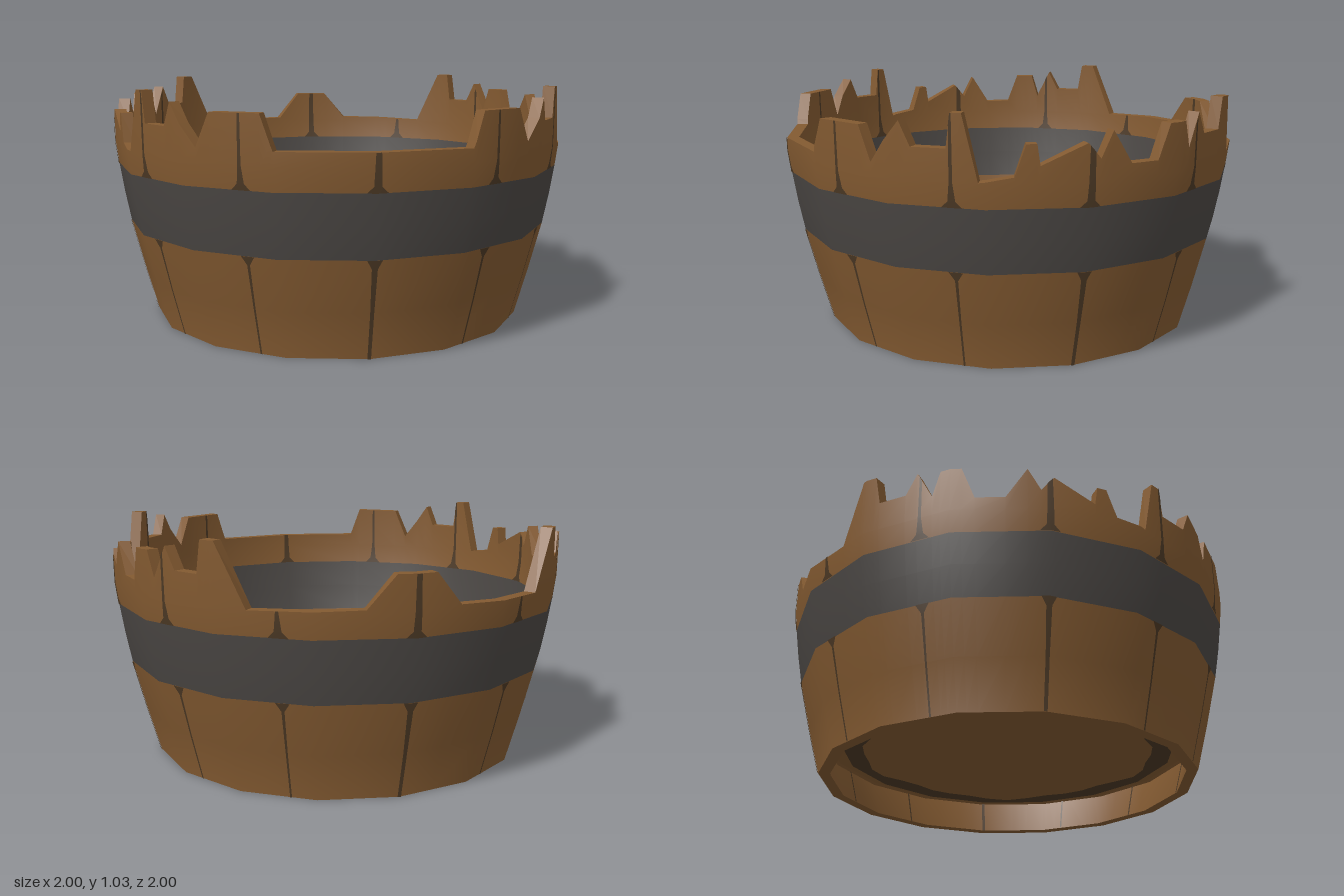
import * as THREE from 'three';

const RAD = Math.PI / 180;
const SIDES = 16;
const THICK = 0.05;

// Outer radius by height
const PROFILE = [[0, 0.83], [0.2, 0.885], [0.42, 0.94], [0.55, 0.965], [0.68, 0.985], [0.775, 0.997], [1.05, 1.0]];
// Height of the broken rim by angle from the front, mirrored left to right
const RIM = [[0, 0.83], [22, 0.83], [25, 0.967], [37.5, 0.965], [41, 0.83], [48.5, 0.995], [51, 0.9], [59, 0.9],
  [60, 1.03], [62.5, 1.03], [66, 0.78], [73.5, 0.8], [76, 0.92], [78.3, 0.92], [79, 0.84], [89, 0.92], [92, 0.86],
  [95, 0.96], [100, 0.83], [107, 0.83], [110, 0.967], [115, 0.967], [117, 0.86], [121, 0.99], [124, 0.9],
  [131, 0.9], [132.3, 1.03], [136, 1.03], [143, 0.78], [154, 0.785], [169, 0.79], [175.5, 0.92], [180, 0.92]];

function sample(table, t) {
  for (let i = 1; i < table.length; i++) {
    const [t0, v0] = table[i - 1], [t1, v1] = table[i];
    if (t <= t1) return v0 + (v1 - v0) * (t - t0) / (t1 - t0);
  }
  return table[table.length - 1][1];
}

const rimHeight = (deg) => {
  const a = ((deg % 360) + 360) % 360;
  return sample(RIM, a > 180 ? 360 - a : a);
};

// Point on the sixteen-sided wall
function wallPoint(deg, y, offset) {
  const step = 360 / SIDES;
  const local = ((deg % step) + step) % step - step / 2;
  const r = (sample(PROFILE, y) + offset) * Math.cos(step / 2 * RAD) / Math.cos(local * RAD);
  return [r * Math.sin(deg * RAD), y, r * Math.cos(deg * RAD)];
}

// Patch of wall with smooth normals; at(i, j) gives [angle, height]
function wallPatch(cols, rows, at, offset, inward) {
  const pos = [], nor = [], idx = [];
  const s = inward ? -1 : 1;
  for (let i = 0; i < cols; i++) {
    for (let j = 0; j < rows; j++) {
      const [deg, y] = at(i, j);
      pos.push(...wallPoint(deg, y, offset));
      const slope = (sample(PROFILE, y + 0.05) - sample(PROFILE, Math.max(0, y - 0.05))) / 0.1;
      const n = new THREE.Vector3(Math.sin(deg * RAD), -slope, Math.cos(deg * RAD)).normalize().multiplyScalar(s);
      nor.push(n.x, n.y, n.z);
      if (i < cols - 1 && j < rows - 1) {
        const a = i * rows + j, b = a + rows, c = b + 1, d = a + 1;
        if (inward) idx.push(a, c, b, a, d, c);
        else idx.push(a, b, c, a, c, d);
      }
    }
  }
  const g = new THREE.BufferGeometry();
  g.setAttribute('position', new THREE.Float32BufferAttribute(pos, 3));
  g.setAttribute('normal', new THREE.Float32BufferAttribute(nor, 3));
  g.setIndex(idx);
  return g;
}

// Flat strip joining the outer and inner wall along a height function
function edgeRing(angles, height, down) {
  const pos = [];
  for (let i = 0; i < angles.length - 1; i++) {
    const [a, b] = [angles[i], angles[i + 1]];
    const o0 = wallPoint(a, height(a), 0), o1 = wallPoint(b, height(b), 0);
    const i0 = wallPoint(a, height(a), -THICK), i1 = wallPoint(b, height(b), -THICK);
    const tris = down ? [o0, i1, o1, o0, i0, i1] : [o0, o1, i1, o0, i1, i0];
    tris.forEach((p) => pos.push(...p));
  }
  const g = new THREE.BufferGeometry();
  g.setAttribute('position', new THREE.Float32BufferAttribute(pos, 3));
  g.computeVertexNormals();
  return g;
}

export function createModel() {
  const group = new THREE.Group();
  const material = (name, color) => Object.assign(new THREE.MeshStandardMaterial({ color }), { name });
  const wood = material('wood', 0x835a31);
  const darkWood = material('darkWood', 0x4c3925);
  const iron = material('iron', 0x4b4744);
  const add = (name, geometry, mat) => {
    const mesh = new THREE.Mesh(geometry, mat);
    mesh.name = name;
    group.add(mesh);
    return mesh;
  };

  // Angles where the wall bends or the rim breaks
  const set = new Set();
  for (let i = 0; i <= SIDES; i++) set.add(i * 360 / SIDES);
  RIM.forEach(([a]) => { set.add(a); set.add(360 - a); });
  const angles = [...set].sort((a, b) => a - b);

  // Staves and hoop, outside and inside
  for (const inward of [false, true]) {
    const side = inward ? 'inner' : 'outer';
    const off = inward ? -THICK : 0;
    const layer = (name, ys, mat) => add(side + name, wallPatch(angles.length, ys.length,
      (i, j) => [angles[i], ys[j] ?? rimHeight(angles[i])], off, inward), mat);
    layer('LowerStaves', [0, 0.2, 0.42], wood);
    layer('Hoop', [0.42, 0.55, 0.68], iron);
    layer('UpperStaves', [0.68, 0.775, null], wood);

    // Dark gaps between staves, flaring where they meet the hoop
    for (let k = 0; k < 12; k++) {
      const wide = k % 3 === 0 ? 1 : 0.55;
      const gap = (name, rows) => add(side + name, wallPatch(3, rows.length, (i, j) => {
        const deg = k * 30 + (i - 1) * rows[j][1];
        return [deg, rows[j][0] ?? rimHeight(deg)];
      }, off + (inward ? -0.003 : 0.003), inward), darkWood);
      gap('LowerGap', [[0, 0.5 * wide], [0.2, 0.5 * wide], [0.385, 0.7 * wide], [0.42, 1.8]]);
      gap('UpperGap', [[0.68, 2.4], [0.705, 0.9], [0.775, 0.75 * wide], [null, 0.6 * wide]]);
    }
  }
  add('brokenRim', edgeRing(angles, rimHeight, false), wood);
  add('bottomLip', edgeRing(angles, () => 0, true), wood);

  // Floor disc with a bevelled edge
  const lathe = (pts) => {
    const g = new THREE.LatheGeometry(pts.map(([x, y]) => new THREE.Vector2(x, y)), SIDES);
    return g;
  };
  add('floorUpperBevel', lathe([[0.825, 0.15], [0.755, 0.2]]), wood);
  add('floorUpperEdge', lathe([[0.755, 0.2], [0.735, 0.197]]), wood);
  add('floorLowerBevel', lathe([[0.745, 0.14], [0.825, 0.165]]), wood);
  const disc = (name, r, y, up) => {
    const m = add(name, new THREE.CircleGeometry(r, SIDES), darkWood);
    m.rotation.x = up ? -Math.PI / 2 : Math.PI / 2;
    m.position.y = y;
  };
  disc('floorStain', 0.74, 0.197, true);
  disc('undersideStain', 0.745, 0.14, false);

  // Clean floor planks with worn outlines
  const flat = (name, pts, y, up) => {
    const m = add(name, new THREE.ShapeGeometry(new THREE.Shape(pts)), wood);
    m.rotation.x = up ? -Math.PI / 2 : Math.PI / 2;
    m.position.y = y;
  };
  for (const [x0, x1] of [[-0.655, -0.405], [-0.395, -0.006], [0.006, 0.395], [0.405, 0.655]]) {
    const top = [], bottom = [];
    const N = 14;
    for (let i = 0; i <= N; i++) {
      const x = x0 + (x1 - x0) * i / N;
      const gap = Math.min(Math.abs(x), Math.abs(Math.abs(x) - 0.4));
      const taper = 0.16 * Math.max(0, 1 - gap / 0.045);
      const edge = Math.sqrt(Math.max(0, 0.656 ** 2 - x * x));
      const wear = 0.015 * Math.sin(x * 31) * Math.min(1, edge * 3);
      top.push(new THREE.Vector2(x, Math.max(0.002, edge + wear - taper)));
      bottom.unshift(new THREE.Vector2(x, -Math.max(0.002, edge - wear - taper)));
    }
    flat('floorPlank', [...top, ...bottom], 0.201, true);
  }
  const under = [];
  for (let i = 0; i < 40; i++) {
    const a = i / 40 * Math.PI * 2;
    const r = 0.645 + 0.02 * Math.sin(a * 5 + 1) + 0.015 * Math.sin(a * 11);
    under.push(new THREE.Vector2(r * Math.cos(a), r * Math.sin(a)));
  }
  flat('undersidePlanks', under, 0.136, false);

  // Lathe surfaces are open strips
  wood.side = THREE.DoubleSide;
  return group;
}
